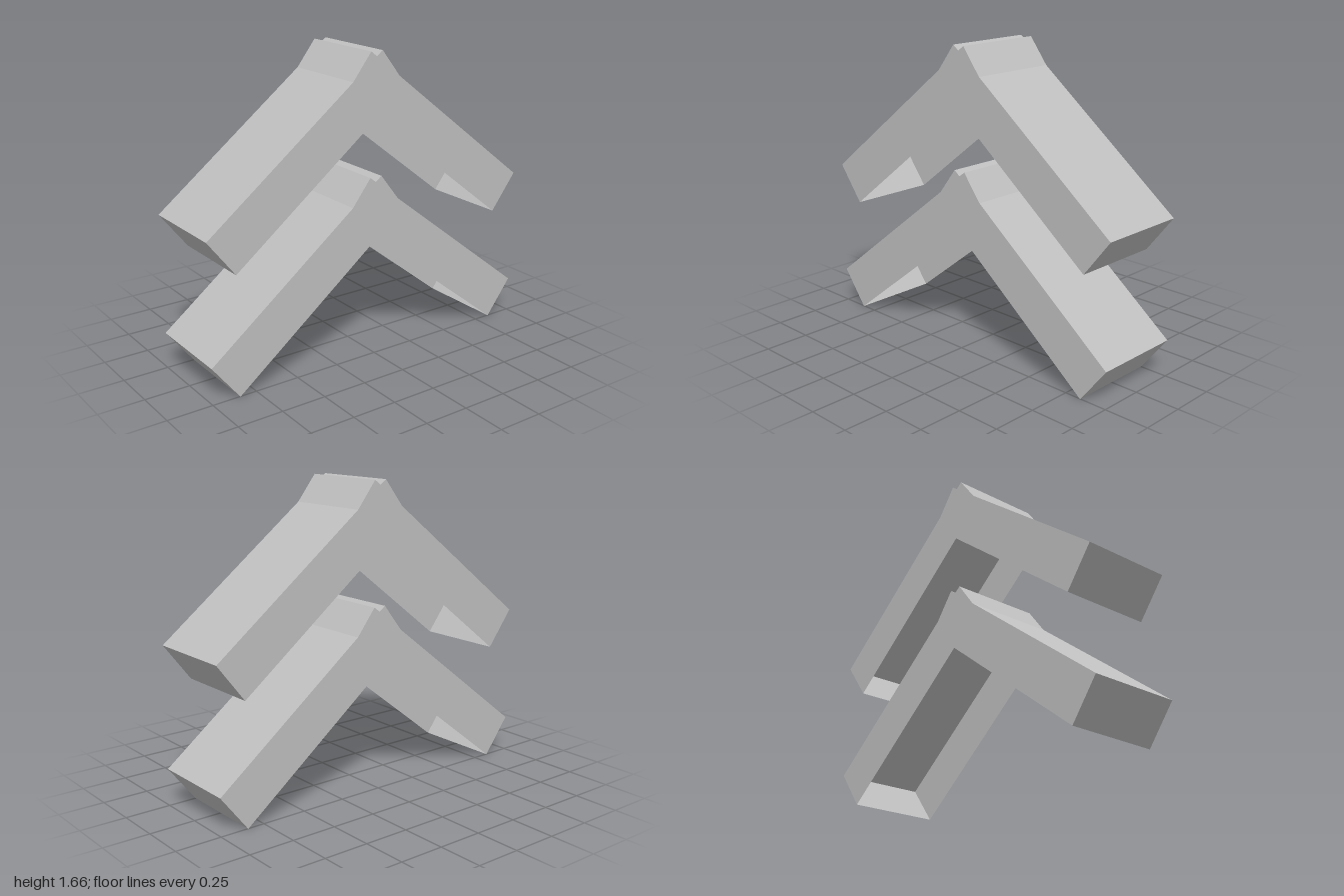
import * as THREE from 'three';

const HALF_DEPTH = 0.253;
const STEP = 0.658;

// Outer outline of one chevron, from the +x foot over the notched peak to the -x foot
const half = [[0.845, 0], [1, 0.2], [0.147, 0.864], [0.036, 1.007]];
const outline = [...half, [0, 0.98], ...half.map(([x, y]) => [-x, y]).reverse()];
const innerPeak = [0, 0.66];

// Upper surfaces and foot ends; the underside of the arms stays open
function shellGeometry() {
  const pos = [];
  for (let i = 0; i < outline.length - 1; i++) {
    const [ax, ay] = outline[i], [bx, by] = outline[i + 1], d = HALF_DEPTH;
    pos.push(ax, ay, d, ax, ay, -d, bx, by, -d);
    pos.push(ax, ay, d, bx, by, -d, bx, by, d);
  }
  const geo = new THREE.BufferGeometry();
  geo.setAttribute('position', new THREE.Float32BufferAttribute(pos, 3));
  geo.computeVertexNormals();
  return geo;
}

export function createModel() {
  const grey = new THREE.MeshStandardMaterial({ color: 0xbfbfbf, side: THREE.DoubleSide });
  grey.name = 'grey';

  const shape = new THREE.Shape([...outline, innerPeak].map(([x, y]) => new THREE.Vector2(x, y)));
  const sideGeo = new THREE.ShapeGeometry(shape);
  const shellGeo = shellGeometry();

  const model = new THREE.Group();
  model.name = 'doubleChevron';

  // Two identical hollow chevrons, one above the other
  ['lowerChevron', 'upperChevron'].forEach((name, i) => {
    const chevron = new THREE.Group();
    chevron.name = name;
    chevron.position.y = i * STEP;

    const shell = new THREE.Mesh(shellGeo, grey);
    shell.name = 'outerShell';

    const front = new THREE.Mesh(sideGeo, grey);
    front.name = 'frontFace';
    front.position.z = HALF_DEPTH;

    const back = new THREE.Mesh(sideGeo, grey);
    back.name = 'backFace';
    back.rotation.y = Math.PI;
    back.position.z = -HALF_DEPTH;

    chevron.add(shell, front, back);
    model.add(chevron);
  });
  return model;
}
